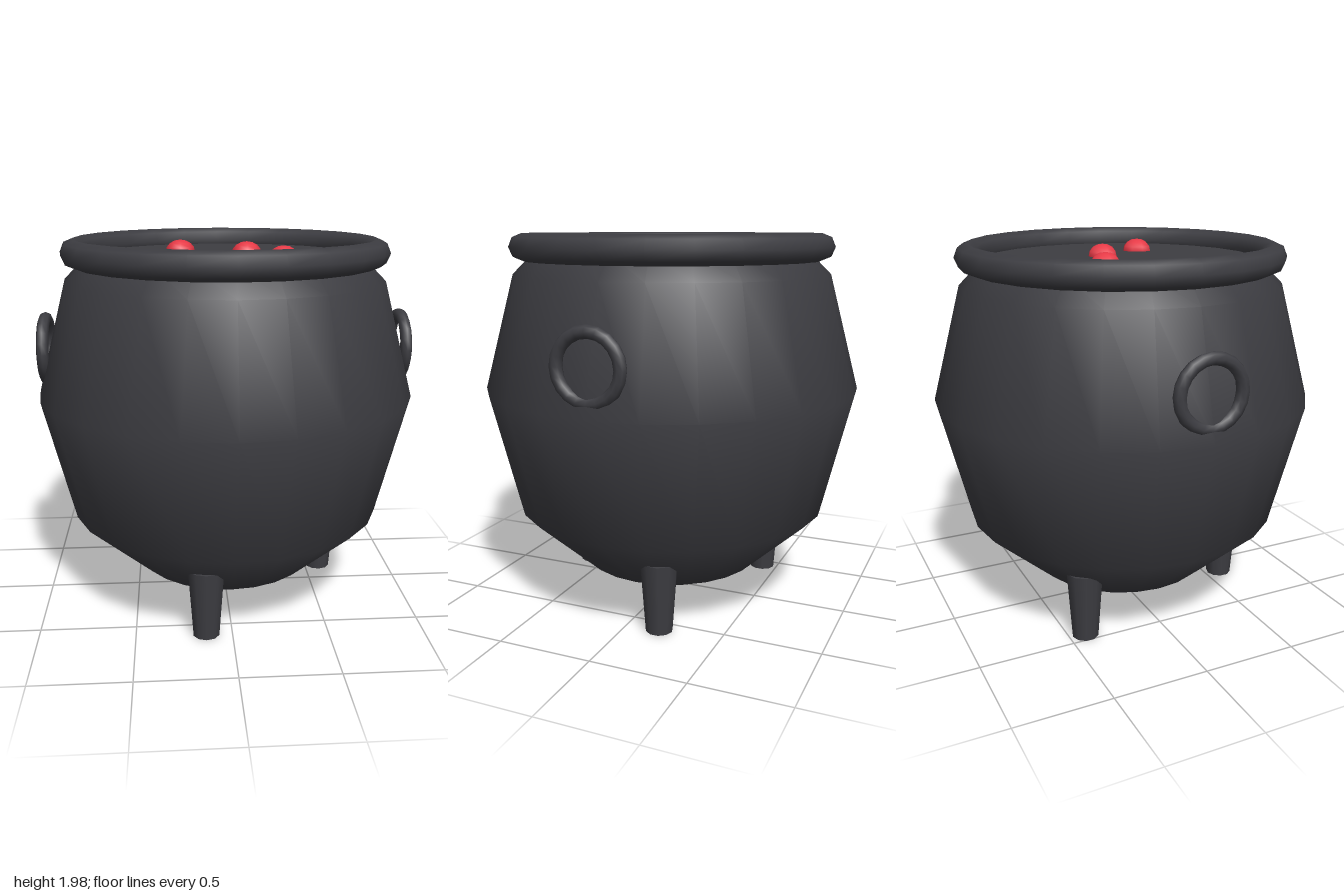
import * as THREE from 'three';

const iron = new THREE.MeshStandardMaterial({ color: 0x3d3d42 });
const red = new THREE.MeshStandardMaterial({ color: 0xe63946 });

export function createModel() {
  const model = new THREE.Group();
  model.name = 'cauldron';

  const add = (name, geometry, material, x = 0, y = 0, z = 0) => {
    const mesh = new THREE.Mesh(geometry, material);
    mesh.name = name;
    mesh.position.set(x, y, z);
    model.add(mesh);
    return mesh;
  };

  // Pot belly, closed at the bottom
  const profile = [[0, 0.19], [0.48, 0.19], [0.84, 0.515], [1, 1.17], [0.84, 1.77], [0.72, 1.89]]
    .map(([r, y]) => new THREE.Vector2(r, y));
  add('pot', new THREE.LatheGeometry(profile, 24), iron);

  // Thick rolled rim
  add('rim', new THREE.TorusGeometry(0.788, 0.07, 8, 24), iron, 0, 1.91, 0).rotation.x = Math.PI / 2;

  // Brew surface with bubbles half sunk in it
  const brewY = 1.89;
  add('brew', new THREE.CircleGeometry(0.76, 24), iron, 0, brewY, 0).rotation.x = -Math.PI / 2;
  for (const [x, z] of [[-0.23, -0.19], [0.12, -0.05], [0.28, 0.23]]) {
    add('bubble', new THREE.SphereGeometry(0.08, 8, 8), red, x, brewY, z).scale.y = 0.8;
  }

  // Ring handles on both sides
  for (const side of [1, -1]) {
    const name = side > 0 ? 'leftHandle' : 'rightHandle';
    add(name, new THREE.TorusGeometry(0.163, 0.032, 8, 20), iron, side * 0.954, 1.4, 0).rotation.y = Math.PI / 2;
  }

  // Three tapered legs
  for (let i = 0; i < 3; i++) {
    const a = THREE.MathUtils.degToRad(103 + i * 120);
    add('leg', new THREE.CylinderGeometry(0.097, 0.07, 0.375, 10), iron,
      0.603 * Math.cos(a), 0.1875, 0.603 * Math.sin(a));
  }

  return model;
}
